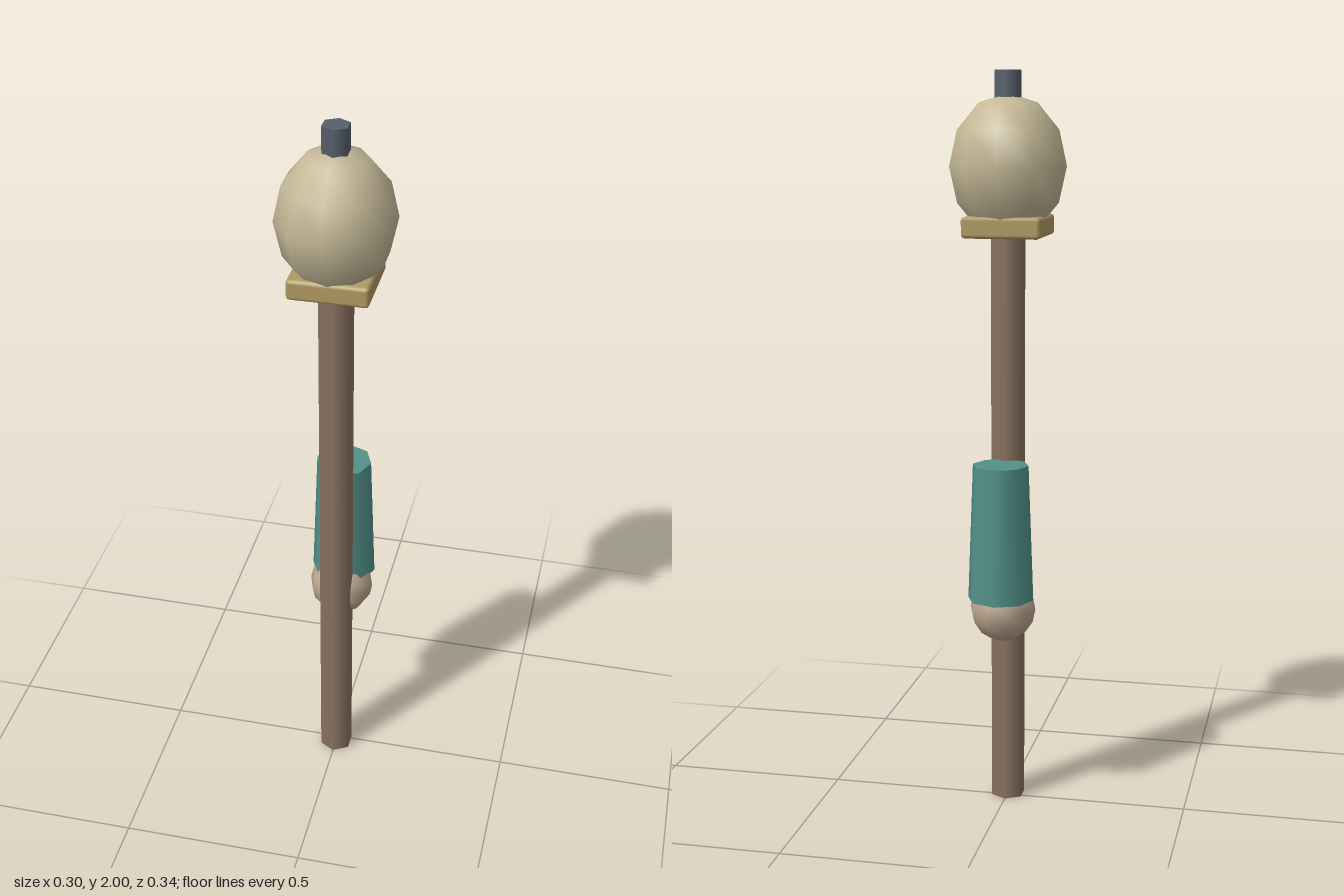
import * as THREE from 'three';
import { RoundedBoxGeometry } from 'three/addons/geometries/RoundedBoxGeometry.js';

export function createModel() {
  const model = new THREE.Group();
  const axisZ = 0.015; // the staff stands slightly forward of the arm

  function add(name, geometry, color, y, z = axisZ) {
    const mesh = new THREE.Mesh(geometry, new THREE.MeshStandardMaterial({ color }));
    mesh.name = name;
    mesh.position.set(0, y, z);
    model.add(mesh);
    return mesh;
  }

  // Tapered, capped tube between two heights
  function tube(name, rTop, rBottom, y0, y1, sides, color, z) {
    const geometry = new THREE.CylinderGeometry(rTop, rBottom, y1 - y0, sides);
    return add(name, geometry, color, (y0 + y1) / 2, z);
  }

  // Hexagonal staff with a square collar
  tube('staff', 0.048, 0.048, 0, 1.59, 6, 0x8b7360);
  add('collar', new RoundedBoxGeometry(0.212, 0.056, 0.212, 1, 0.01), 0xb09a62, 1.597);

  // Faceted egg-shaped head and its hexagonal tip
  const head = add('staffHead', new THREE.SphereGeometry(0.156, 10, 6), 0xc4b896, 1.752);
  head.rotation.y = Math.PI / 2;
  head.scale.y = 0.19 / 0.156;
  tube('tip', 0.037, 0.037, 1.85, 2, 6, 0x56606c);

  // Sleeve and hand behind the staff
  tube('sleeve', 0.076, 0.09, 0.6, 0.97, 8, 0x529189, -0.082);
  add('hand', new THREE.SphereGeometry(0.09, 10, 8), 0xbaa68f, 0.565, -0.053);

  return model;
}
